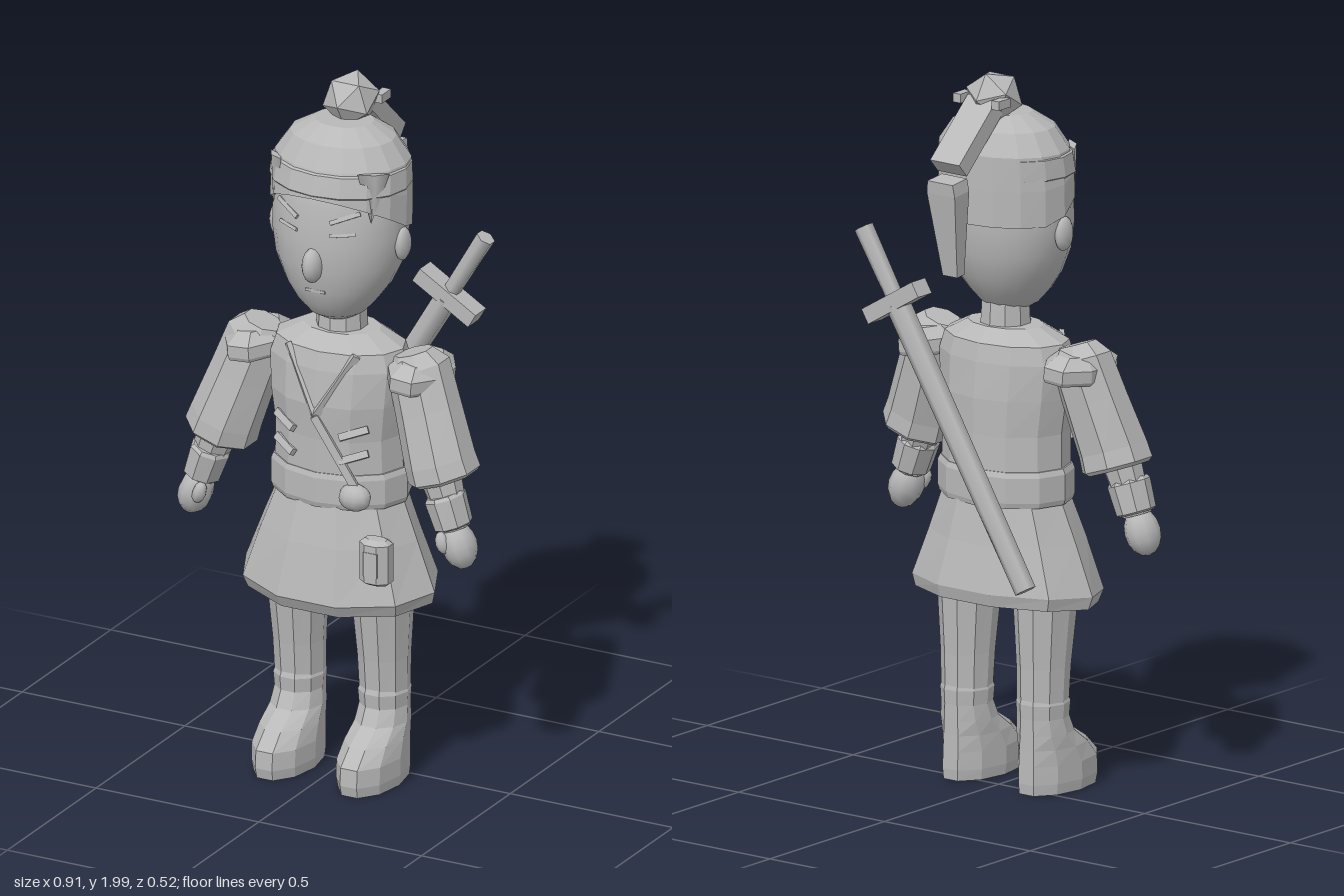
import * as THREE from 'three';

const grey = new THREE.MeshStandardMaterial({ color: 0xb8b8b8, side: THREE.DoubleSide });
grey.name = 'plain grey';

function add(parent, name, geo, x = 0, y = 0, z = 0) {
  const mesh = new THREE.Mesh(geo, grey);
  mesh.name = name;
  mesh.position.set(x, y, z);
  parent.add(mesh);
  return mesh;
}

// Closed loft through elliptical rings, bottom to top: [y, half width, back z, front z, centre x]
function loft(rings, n, { smooth = false, phase = 0, lift = () => 0 } = {}) {
  const pos = [], idx = [];
  rings.forEach(([y, rx, zb, zf, cx = 0], i) => {
    for (let j = 0; j < n; j++) {
      const a = (j + phase) / n * Math.PI * 2;
      pos.push(cx + rx * Math.sin(a), y + lift(i, a), (zb + zf) / 2 + (zf - zb) / 2 * Math.cos(a));
      if (i + 1 < rings.length) {
        const k = (j + 1) % n, b = i * n, t = b + n;
        idx.push(b + j, b + k, t + k, b + j, t + k, t + j);
      }
    }
  });
  [0, rings.length - 1].forEach((i, top) => {
    const [y, , zb, zf, cx = 0] = rings[i], c = pos.length / 3;
    pos.push(cx, y + (lift(i, 0) + lift(i, Math.PI)) / 2, (zb + zf) / 2);
    for (let j = 0; j < n; j++) {
      const p = i * n + j, q = i * n + (j + 1) % n;
      idx.push(c, top ? p : q, top ? q : p);
    }
  });
  let g = new THREE.BufferGeometry();
  g.setAttribute('position', new THREE.Float32BufferAttribute(pos, 3));
  g.setIndex(idx);
  if (!smooth) g = g.toNonIndexed();
  g.computeVertexNormals();
  return g;
}

// Straight bar between two points
function bar(parent, name, a, b, width, depth) {
  const p = new THREE.Vector3(...a), q = new THREE.Vector3(...b);
  const mesh = add(parent, name, new THREE.BoxGeometry(width, p.distanceTo(q), depth));
  mesh.position.copy(p).add(q).multiplyScalar(0.5);
  mesh.quaternion.setFromUnitVectors(new THREE.Vector3(0, 1, 0), q.sub(p).normalize());
  return mesh;
}

function buildBody(g) {
  // Flared skirt with a thin hem
  add(g, 'skirt', loft([
    [0.56, 0.22, -0.1, 0.18], [0.525, 0.28, -0.155, 0.225], [0.56, 0.29, -0.165, 0.245],
    [0.7, 0.235, -0.135, 0.21], [0.81, 0.19, -0.115, 0.18]], 10,
  { phase: 0.5, lift: (i, a) => (i < 3 ? -0.015 * Math.cos(a) : 0) }));
  add(g, 'belt', loft([[0.805, 0.197, -0.118, 0.182], [0.82, 0.202, -0.122, 0.187],
    [0.89, 0.202, -0.122, 0.187], [0.905, 0.195, -0.116, 0.182]], 12));
  add(g, 'torso', loft([[0.9, 0.19, -0.114, 0.18], [1.0, 0.187, -0.11, 0.18], [1.1, 0.2, -0.11, 0.187],
    [1.2, 0.207, -0.1, 0.175], [1.25, 0.19, -0.09, 0.162], [1.288, 0.115, -0.05, 0.11]], 12));
  add(g, 'neck', loft([[1.26, 0.073, -0.042, 0.102], [1.36, 0.068, -0.035, 0.095]], 10));

  // Crossed collar, sash and chest ties
  for (const s of [-1, 1]) {
    bar(g, 'collar', [s * 0.105, 1.25, 0.143], [0, 1.07, 0.187], 0.022, 0.014);
    for (const y of [0.96, 1.03]) {
      bar(g, 'chestTie', [s * 0.07, y - 0.012, 0.177], [s * 0.14, y + 0.012, 0.14], 0.02, 0.016);
    }
  }
  bar(g, 'sash', [0, 1.07, 0.187], [0.12, 0.87, 0.168], 0.022, 0.014);
  add(g, 'beltKnot', new THREE.SphereGeometry(0.045, 10, 8), 0.115, 0.85, 0.17).scale.set(1.05, 0.85, 0.8);

  // Hip pouch with raised front panel
  const pouch = new THREE.Group();
  pouch.name = 'pouch';
  pouch.position.set(0.213, 0.705, 0.228);
  add(pouch, 'pouchCase', loft([[-0.066, 0.034, -0.018, 0.018], [-0.055, 0.048, -0.038, 0.038],
    [0.055, 0.048, -0.038, 0.038], [0.066, 0.034, -0.018, 0.018]], 8, { phase: 0.5 }));
  add(pouch, 'pouchPanel', new THREE.BoxGeometry(0.042, 0.07, 0.01), 0, 0, 0.032);
  g.add(pouch);
}

function buildLeg(g, s) {
  const x = s * 0.13;
  add(g, 'leg', loft([[0.2, 0.068, -0.045, 0.095, x], [0.35, 0.072, -0.047, 0.108, x],
    [0.52, 0.084, -0.055, 0.13, x], [0.64, 0.085, -0.055, 0.13, x * 0.95]], 10, { phase: 0.5 }));
  add(g, 'boot', loft([[0, 0.079, -0.052, 0.235, x], [0.03, 0.083, -0.055, 0.242, x],
    [0.08, 0.083, -0.053, 0.238, x], [0.125, 0.079, -0.05, 0.19, x], [0.165, 0.074, -0.048, 0.125, x],
    [0.21, 0.069, -0.047, 0.102, x], [0.25, 0.072, -0.049, 0.106, x], [0.265, 0.066, -0.045, 0.1, x]],
  10, { phase: 0.5 }));
}

function buildArm(g, s) {
  const arm = new THREE.Group();
  arm.name = s > 0 ? 'leftArm' : 'rightArm';
  arm.position.set(s * 0.25, 1.2, 0);
  arm.rotation.z = s * 0.33;
  add(arm, 'sleeve', loft([[-0.255, 0.07, 0.01, 0.15], [-0.295, 0.09, -0.01, 0.172],
    [-0.285, 0.103, -0.018, 0.182], [-0.24, 0.1, -0.015, 0.178], [-0.1, 0.094, -0.025, 0.15],
    [0.02, 0.09, -0.035, 0.13], [0.06, 0.055, 0, 0.1]], 8, { phase: 0.5 }));
  add(arm, 'forearm', loft([[-0.43, 0.042, 0.065, 0.15], [-0.25, 0.06, 0.04, 0.16]], 8, { phase: 0.5 }));
  add(arm, 'bracer', loft([[-0.425, 0.044, 0.06, 0.158], [-0.42, 0.052, 0.05, 0.168],
    [-0.34, 0.057, 0.046, 0.172], [-0.33, 0.05, 0.055, 0.165]], 8));
  add(arm, 'hand', new THREE.SphereGeometry(1, 10, 8), 0, -0.478, 0.112).scale.set(0.048, 0.067, 0.052);
  add(arm, 'thumb', new THREE.SphereGeometry(0.02, 8, 6), s * -0.025, -0.455, 0.15).scale.y = 1.6;
  g.add(arm);
  // Octagonal shoulder guard
  const guard = add(g, 'shoulderGuard', loft([[-0.035, 0.078, -0.125, 0.125], [-0.025, 0.084, -0.13, 0.13],
    [0.008, 0.084, -0.13, 0.13], [0.037, 0.052, -0.085, 0.085]], 8, { phase: 0.5 }), s * 0.25, 1.205, 0.04);
  guard.rotation.z = s * -0.08;
}

function buildHead(g) {
  add(g, 'face', loft([[1.325, 0.05, -0.005, 0.1], [1.345, 0.08, -0.03, 0.135], [1.38, 0.112, -0.06, 0.162],
    [1.43, 0.148, -0.093, 0.183], [1.5, 0.18, -0.118, 0.197], [1.58, 0.193, -0.126, 0.2],
    [1.68, 0.194, -0.127, 0.19], [1.77, 0.18, -0.12, 0.165]], 24, { smooth: true }));
  // Hair cap with a hairline that rises over the brow
  add(g, 'hair', loft([[1.61, 0.199, -0.133, 0.203], [1.7, 0.2, -0.133, 0.197], [1.785, 0.192, -0.132, 0.18],
    [1.845, 0.15, -0.1, 0.145], [1.882, 0.085, -0.05, 0.09]], 16,
  { lift: (i, a) => [0.1, 0.045, 0, 0, 0][i] * Math.max(-0.2, Math.cos(a)) }));
  const nose = add(g, 'nose', new THREE.SphereGeometry(1, 12, 8), 0, 1.515, 0.195);
  nose.scale.set(0.028, 0.05, 0.04);
  for (const s of [-1, 1]) {
    add(g, 'ear', new THREE.SphereGeometry(1, 10, 8), s * 0.192, 1.56, 0.04).scale.set(0.02, 0.048, 0.034);
    bar(g, 'brow', [s * 0.05, 1.645, 0.192], [s * 0.125, 1.675, 0.157], 0.012, 0.008);
    bar(g, 'eye', [s * 0.05, 1.608, 0.194], [s * 0.115, 1.614, 0.166], 0.009, 0.008);
    // Pointed side lock lying over the temple
    const lock = add(g, 'sideLock', new THREE.ConeGeometry(0.045, 0.14, 4), s * 0.15, 1.715, 0.135);
    lock.scale.z = 0.3;
    lock.rotation.set(Math.PI - 0.1, s * -0.75, 0);
  }
  bar(g, 'mouth', [-0.03, 1.435, 0.181], [0.03, 1.435, 0.181], 0.008, 0.006);
  // Headband around the brow
  add(g, 'headband', loft([[1.715, 0.197, -0.13, 0.2], [1.72, 0.201, -0.132, 0.204],
    [1.775, 0.197, -0.131, 0.19], [1.78, 0.19, -0.125, 0.18]], 16));

  // Top knot and folded ponytail
  const bun = add(g, 'topKnot', new THREE.IcosahedronGeometry(0.08, 0), 0, 1.925, -0.02);
  bun.rotation.set(0.55, 0, 0);
  bun.scale.set(1, 0.94, 1);
  for (const s of [-1, 1]) add(g, 'hairTie', new THREE.BoxGeometry(0.025, 0.025, 0.05), s * 0.066, 1.925, -0.075);
  bar(g, 'ponytailUpper', [0, 1.915, -0.055], [0, 1.765, -0.22], 0.1, 0.05);
  const tail = add(g, 'ponytailLower', loft([[-0.138, 0.026, -0.022, 0.022], [0.1, 0.05, -0.045, 0.045],
    [0.135, 0.045, -0.045, 0.045]], 4, { phase: 0.5 }), 0, 1.6, -0.212);
  tail.rotation.x = -0.1;
  tail.scale.x = 1.35;
}

function buildSword(g) {
  // Sheathed sword slung diagonally across the back
  const sword = new THREE.Group();
  sword.name = 'sword';
  sword.position.set(0.225, 1.345, -0.16);
  sword.rotation.z = -0.54;
  add(sword, 'guard', new THREE.BoxGeometry(0.2, 0.045, 0.06));
  add(sword, 'handle', new THREE.CylinderGeometry(0.027, 0.024, 0.22, 6), 0, 0.11, 0);
  add(sword, 'sheath', new THREE.CylinderGeometry(0.035, 0.03, 0.85, 6), 0, -0.435, 0);
  g.add(sword);
}

export function createModel() {
  const model = new THREE.Group();
  model.name = 'swordBearer';
  buildBody(model);
  for (const s of [-1, 1]) {
    buildLeg(model, s);
    buildArm(model, s);
  }
  buildHead(model);
  buildSword(model);
  return model;
}
